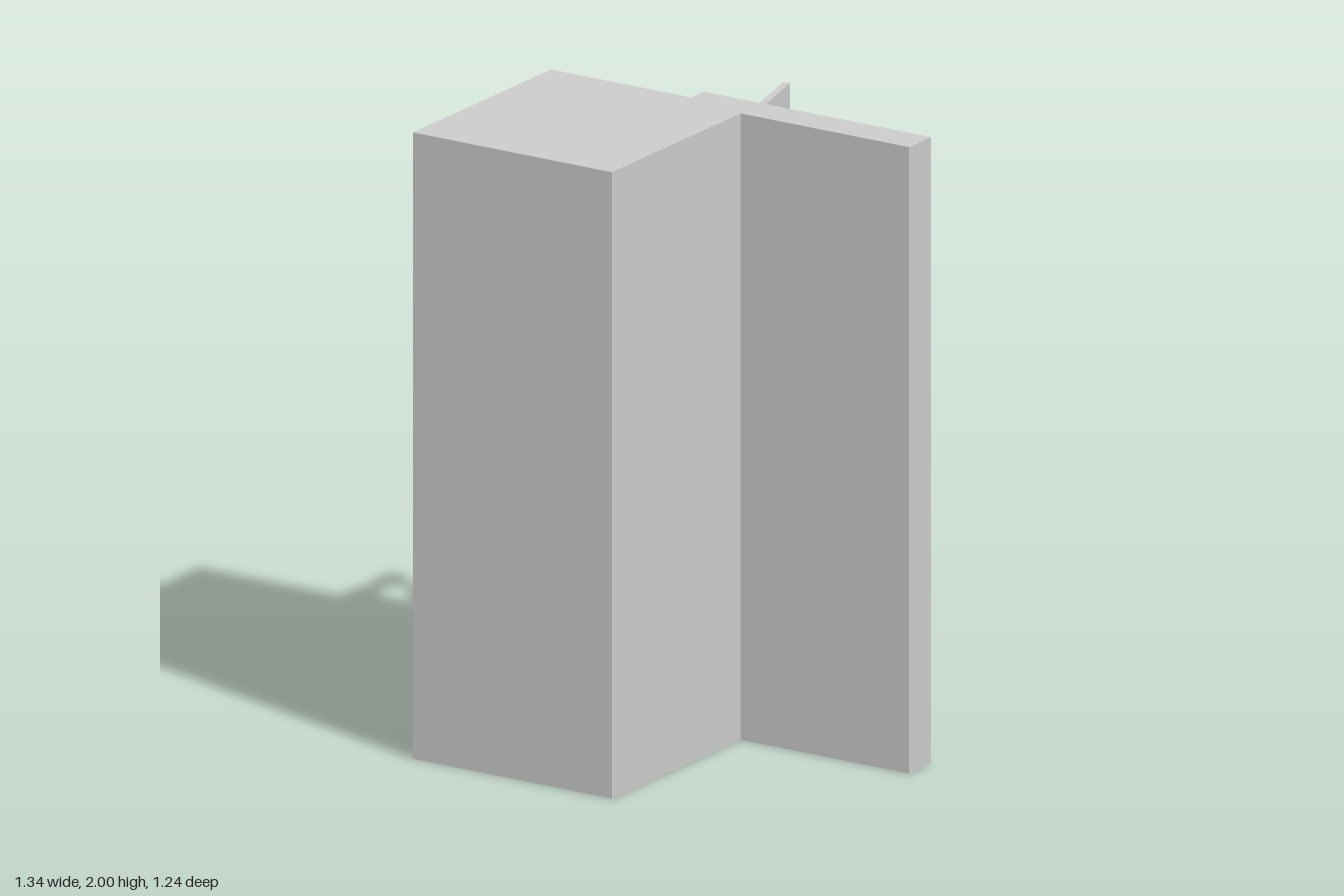
import * as THREE from 'three';

const grey = new THREE.MeshStandardMaterial({ color: 0xcccccc });

function add(parent, name, geometry, x = 0, y = 0, z = 0) {
  const mesh = new THREE.Mesh(geometry, grey);
  mesh.name = name;
  mesh.position.set(x, y, z);
  parent.add(mesh);
  return mesh;
}

// Cylinder along z between two depths
function rod(parent, name, radius, z0, z1) {
  const g = new THREE.CylinderGeometry(radius, radius, Math.abs(z1 - z0), 32).rotateX(Math.PI / 2);
  return add(parent, name, g, 0, 0, (z0 + z1) / 2);
}

// Teardrop: large circle at the origin joined by tangents to a small one at +x
function teardrop(R, r, d) {
  const a = Math.acos((R - r) / d);
  const s = new THREE.Shape();
  s.absarc(0, 0, R, a, 2 * Math.PI - a, false);
  s.absarc(d, 0, r, -a, a, false);
  s.closePath();
  return s;
}

// Swing arm carrying one tilted panel; origin on the post axis
function createPanelArm() {
  const g = new THREE.Group();
  g.name = 'panelArm';

  const plate = new THREE.ExtrudeGeometry(teardrop(0.08, 0.022, 0.163), { depth: 0.014, bevelEnabled: false, curveSegments: 24 });
  add(g, 'mountingPlate', plate, 0, 0, -0.154);

  rod(g, 'postSleeve', 0.032, -0.15, -0.336);
  rod(g, 'postPin', 0.021, -0.33, -0.492);
  rod(g, 'armCollar', 0.032, -0.382, -0.47);

  add(g, 'arm', new THREE.BoxGeometry(0.245, 0.045, 0.038), 0.14, 0, -0.429);

  // Panel and its rear housing share one tilt
  const head = new THREE.Group();
  head.name = 'panelHead';
  head.position.set(0.298, 0, -0.442);
  head.rotation.y = THREE.MathUtils.degToRad(14.6);
  add(head, 'panel', new THREE.BoxGeometry(0.023, 0.51, 0.372), 0, 0, 0);
  add(head, 'rearHousing', new THREE.BoxGeometry(0.038, 0.41, 0.22), -0.0305, 0, 0.011);
  g.add(head);
  return g;
}

export function createModel() {
  const model = new THREE.Group();
  model.name = 'columnWithPanels';

  // Column and wall wing as one solid, outlined in plan (x, z)
  const plan = new THREE.Shape([
    [-0.67, 0.62], [0.055, 0.62], [0.055, -0.09], [0.67, -0.09],
    [0.67, -0.21], [-0.158, -0.21], [-0.158, -0.14], [-0.67, -0.14],
  ].map(([x, z]) => new THREE.Vector2(x, -z)));
  const column = new THREE.ExtrudeGeometry(plan, { depth: 2, bevelEnabled: false }).rotateX(-Math.PI / 2);
  add(model, 'columnAndWall', column);

  // Three panels stacked up the back
  for (const y of [0.34, 1.005, 1.67]) {
    const arm = createPanelArm();
    arm.position.set(-0.381, y, 0);
    model.add(arm);
  }
  return model;
}
